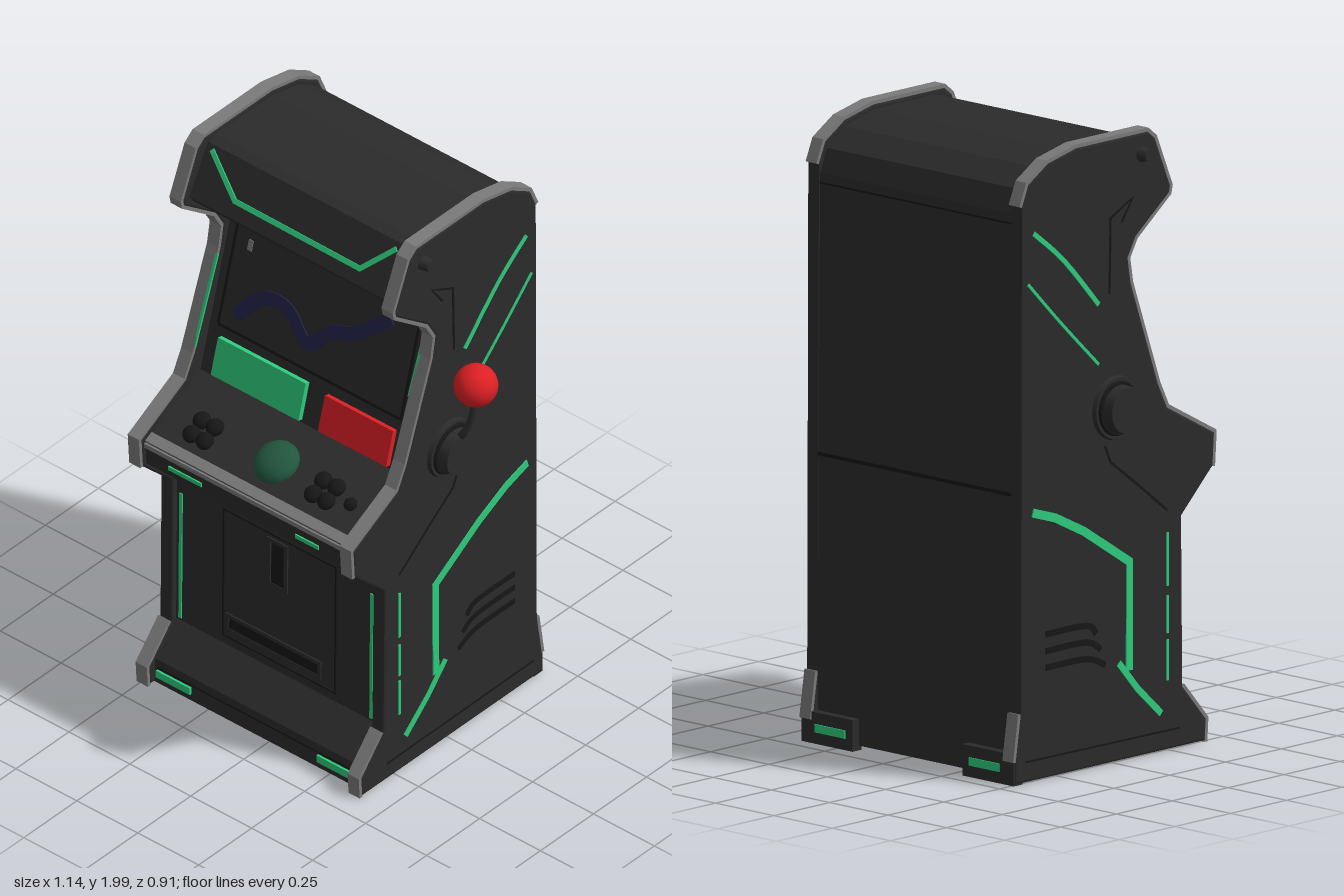
import * as THREE from 'three';

const mat = (name, color, side = THREE.FrontSide) => {
  const m = new THREE.MeshStandardMaterial({ color, side });
  m.name = name;
  return m;
};

const V = (x, y) => new THREE.Vector2(x, y);

// Flat band of even width along a polyline, with mitred corners
function ribbon(pts, width, depth = 0.005) {
  const p = pts.map(([x, y]) => V(x, y)), left = [], right = [];
  p.forEach((q, i) => {
    const a = q.clone().sub(p[i - 1] ?? q).normalize();
    const b = (p[i + 1] ?? q).clone().sub(q).normalize();
    const t = a.clone().add(b).normalize();
    const n = V(-t.y, t.x), ref = i ? a : b;
    n.multiplyScalar(width / 2 / Math.max(0.5, t.dot(ref)));
    left.push(q.clone().add(n));
    right.unshift(q.clone().sub(n));
  });
  return new THREE.ExtrudeGeometry(new THREE.Shape([...left, ...right]), { depth, bevelEnabled: false });
}

const curve = (pts, n) => new THREE.SplineCurve(pts.map(([x, y]) => V(x, y))).getPoints(n).map(q => [q.x, q.y]);

function add(parent, name, geo, material, x = 0, y = 0, z = 0) {
  const m = new THREE.Mesh(geo, material);
  m.name = name;
  m.position.set(x, y, z);
  parent.add(m);
  return m;
}

export function createModel() {
  const root = new THREE.Group();
  root.name = 'arcadeCabinet';
  const body = mat('charcoal', 0x2b2b2b);
  const dark = mat('black groove', 0x171717);
  const trim = mat('grey trim', 0x7a7a7a);
  const green = mat('neon green', 0x2ecc7c);
  const red = mat('red', 0xdc2024);
  const navy = mat('navy', 0x22224c);
  const dome = mat('deep green', 0x22573f);

  const L = -0.49, R = 0.38, MID = (L + R) / 2;

  // Outlines as [z, y], starting at the bottom front
  const sideOutline = [[.41, .005], [.415, .08], [.31, .2], [.305, .74], [.445, .875], [.452, .985], [.24, 1.1],
    [.2, 1.18], [.078, 1.52], [.065, 1.6], [.1, 1.66], [.25, 1.775], [.255, 1.8], [.185, 1.965], [.15, 1.993],
    [-.17, 1.993], [-.3, 1.965], [-.39, 1.91], [-.42, 1.84], [-.425, .23], [-.448, .08], [-.448, .005]];
  const bodyOutline = [[.385, .01], [.385, .1], [.285, .2], [.28, .76], [.425, .88], [.43, .965], [.17, 1.1],
    [.01, 1.68], [.2, 1.77], [.222, 1.8], [.135, 1.965], [.1, 1.975], [-.17, 1.972], [-.3, 1.94], [-.38, 1.885],
    [-.41, 1.81], [-.42, .02]];

  // Main body between the side panels
  const shape = new THREE.Shape(bodyOutline.map(([z, y]) => V(-z, y)));
  const core = add(root, 'cabinetBody', new THREE.ExtrudeGeometry(shape, { depth: R - L, bevelEnabled: false }), body, L);
  core.rotation.y = Math.PI / 2;

  // Both side panels with all their trim and markings
  for (const s of [-1, 1]) {
    const side = new THREE.Group();
    side.name = s > 0 ? 'leftSide' : 'rightSide';
    side.position.x = s > 0 ? R + 0.025 : L - 0.025;
    side.rotation.y = s * Math.PI / 2;
    root.add(side);
    const map = pts => pts.map(([z, y]) => [-s * z, y]);
    const line = (name, pts, w, m, depth = 0.005, z = -0.001) => add(side, name, ribbon(map(pts), w, depth), m, 0, 0, z);

    const panel = new THREE.Shape(map(sideOutline).map(([x, y]) => V(x, y)));
    add(side, 'sidePanel', new THREE.ExtrudeGeometry(panel,
      { depth: 0.034, bevelThickness: 0.008, bevelSize: 0.008, bevelOffset: -0.012, bevelSegments: 2 }), body, 0, 0, -0.042);
    for (const [a, b] of [[0, 2], [4, 18], [19, 20]])
      line('edgeTrim', sideOutline.slice(a, b + 1), 0.012, trim, 0.046, -0.048);

    // Neon lines
    line('lowerNeon', [[-.37, .862], [-.27, .83], [-.14, .765], [.064, .635], [.062, .29]], 0.028, green);
    line('lowerNeonFoot', [[.016, .32], [.1, .225], [.205, .13]], 0.022, green);
    line('upperNeon', curve([[-.365, 1.748], [-.23, 1.64], [-.075, 1.475]], 8), 0.016, green);
    line('upperNeonThin', curve([[-.39, 1.59], [-.25, 1.45], [-.075, 1.285]], 8), 0.01, green);
    for (const [a, b] of [[.7, .53], [.5, .38], [.36, .23]]) line('frontNeonDash', [[.234, a], [.234, b]], 0.01, green);

    // Panel grooves and vents
    line('panelGroove', [[.234, .77], [.1, .875], [-.02, .965], [-.045, 1.02]], 0.008, dark, 0.003);
    line('upperGroove', [[.03, 1.72], [.08, 1.79], [-.02, 1.74], [-.025, 1.5]], 0.008, dark, 0.003);
    line('baseGroove', [[.29, .07], [-.4, .075]], 0.006, dark, 0.003);
    for (let i = 0; i < 3; i++) {
      const y = 0.325 + i * 0.053, k = i * 0.02;
      line('vent', curve([[-.045 - k, y], [-.13, y + .033], [-.31, y + .035]], 8), 0.02, dark, 0.004);
    }

    // Pivot hub and top bolt
    const hub = [[.102, .014], [.088, .022], [.076, .058]];
    let z0 = 0;
    for (const [r, h] of hub) {
      const d = add(side, 'hub', new THREE.CylinderGeometry(r * .96, r, h - z0, 24), z0 === 0.014 ? dark : body, 0, 1.135, (h + z0) / 2);
      d.rotation.x = Math.PI / 2;
      z0 = h;
    }
    const bolt = add(side, 'topBolt', new THREE.CylinderGeometry(.018, .025, .035, 10), body, -s * .12, 1.92, .015);
    bolt.rotation.x = Math.PI / 2;
  }

  // Pull lever
  const path = new THREE.CatmullRomCurve3([[.445, 1.19, .0], [.468, 1.22, 0], [.49, 1.28, -.01], [.5, 1.37, -.02]]
    .map(p => new THREE.Vector3(...p)));
  add(root, 'leverRod', new THREE.TubeGeometry(path, 16, .012, 8), body);
  add(root, 'leverBall', new THREE.SphereGeometry(.07, 24, 16), red, .5, 1.41, -.02);

  // Sloped working plane: x across, y up the slope, z outward; lower and upper ends as [z, y]
  function plane(name, lo, hi) {
    const g = new THREE.Group();
    g.name = name;
    const Y = new THREE.Vector3(0, hi[1] - lo[1], hi[0] - lo[0]).normalize(), X = new THREE.Vector3(1, 0, 0);
    g.applyMatrix4(new THREE.Matrix4().makeBasis(X, Y, X.clone().cross(Y)).setPosition(0, lo[1], lo[0]));
    root.add(g);
    const up = y => (y - lo[1]) / Y.y;
    return {
      g, up, deep: z => (z - lo[0]) / Y.z,
      line: (n, pts, w, m, z = 0) => add(g, n, ribbon(pts.map(([x, y]) => [x, up(y)]), w), m, 0, 0, z),
      plate: (n, x0, x1, y0, y1, d, m) =>
        add(g, n, new THREE.BoxGeometry(x1 - x0, up(y1) - up(y0), d), m, (x0 + x1) / 2, (up(y0) + up(y1)) / 2, d / 2 - .001)
    };
  }
  const frame = (f, n, x0, x1, y0, y1, w, m) =>
    f.line(n, [[x0, y0], [x1, y0], [x1, y1], [x0, y1], [x0, y0]], w, m);

  // Marquee with its neon line
  const marquee = plane('marquee', [.222, 1.8], [.135, 1.965]);
  marquee.line('marqueeNeon', [[-.44, 1.95], [-.3, 1.85], [.215, 1.846], [.32, 1.945]], 0.017, green);
  for (const x of [-.275, .185]) add(root, 'canopyLight', new THREE.BoxGeometry(.15, .012, .03), green, x, 1.69, .045);

  // Screen, its graph line and the two display plates
  const screen = plane('screen', [.17, 1.1], [.01, 1.68]);
  frame(screen, 'screenBorder', -.43, .32, 1.27, 1.66, 0.01, dark);
  screen.line('screenGraph', curve([[-.37, 1.32], [-.31, 1.395], [-.25, 1.43], [-.17, 1.42], [-.085, 1.35],
    [0, 1.425], [.09, 1.46], [.21, 1.56]], 24), 0.045, navy);
  screen.plate('screenGlint', -.378, -.36, 1.54, 1.575, .004, trim);
  screen.plate('greenDisplay', -.41, -.05, 1.11, 1.235, .02, green);
  screen.plate('redDisplay', .03, .31, 1.11, 1.23, .02, red);

  // Control deck
  const deck = plane('controlDeck', [.43, .965], [.17, 1.1]);
  deck.plate('deckEdge', -.465, .355, .966, .982, .008, trim);
  const ball = add(deck.g, 'trackball', new THREE.SphereGeometry(.076, 16, 10), dome, -.035, deck.deep(.305), 0);
  ball.scale.z = .6;
  const button = (x, y, r) => {
    const b = add(deck.g, 'button', new THREE.SphereGeometry(r, 12, 8), dark, x, y, .008);
    b.scale.z = .8;
  };
  for (const [x, z] of [[-.315, .325], [.175, .315]])
    for (const i of [-1, 1]) for (const j of [-1, 1]) button(x + i * .027, deck.deep(z) + j * .027, .03);
  button(.28, deck.deep(.315), .022);

  // Deck front
  const fascia = plane('deckFront', [.425, .88], [.43, .965]);
  fascia.plate('deckTrim', -.465, .355, .948, .965, .008, trim);
  fascia.plate('deckLight', -.37, -.235, .905, .92, .006, green);
  fascia.plate('deckLight', .15, .245, .9, .915, .006, green);

  // Lower front door with coin slot and tray
  const door = plane('frontDoor', [.285, .2], [.28, .76]);
  frame(door, 'doorBorder', -.27, .19, .235, .72, 0.006, dark);
  door.plate('coinSlot', -.075, -.025, .53, .69, .004, dark);
  frame(door, 'coinSlotRim', -.085, -.015, .525, .695, 0.014, body);
  door.plate('coinTray', -.245, .117, .27, .31, .004, dark);
  frame(door, 'coinTrayRim', -.253, .125, .263, .317, 0.014, body);
  for (const x of [-.447, .337]) door.plate('doorNeon', x - .006, x + .006, .21, .69, .005, green);

  // Inner neon dashes beside the screen
  for (const [x, a, b] of [[-.468, 1.2, 1.5], [.358, 1.38, 1.58]]) {
    const edge = plane('screenEdge', [.2, 1.18], [.078, 1.52]);
    edge.plate('screenEdgeNeon', x - .005, x + .005, a, b, .007, green);
  }

  // Corner feet with lights, front and back
  for (const s of [-1, 1]) {
    const x = MID + s * .33;
    add(root, 'frontFootLight', new THREE.BoxGeometry(.14, .026, .03), green, x, .048, .378);
    add(root, 'rearFoot', new THREE.BoxGeometry(.22, .1, .04), body, x + s * .015, .055, -.428);
    add(root, 'rearFootLight', new THREE.BoxGeometry(.13, .026, .006), green, x, .055, -.449);
  }
  add(root, 'kickGroove', new THREE.BoxGeometry(.8, .006, .004), dark, MID, .07, .385);

  // Back panel seams
  add(root, 'backSeam', new THREE.BoxGeometry(.83, .012, .006), dark, MID, .92, -.415);
  add(root, 'backTopSeam', new THREE.BoxGeometry(.83, .006, .006), dark, MID, 1.78, -.409);

  return root;
}
